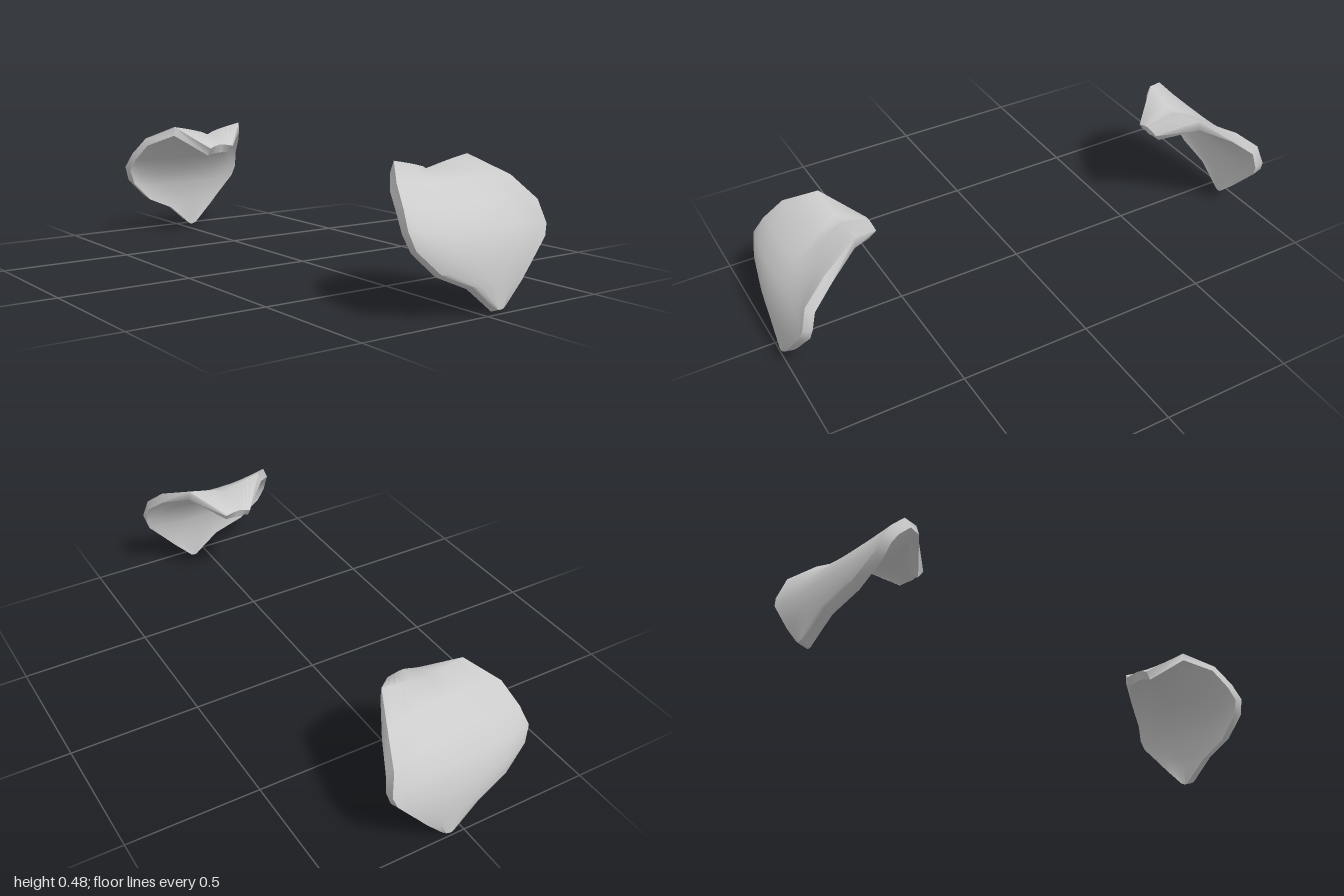
import * as THREE from 'three';
import { toCreasedNormals } from 'three/addons/utils/BufferGeometryUtils.js';

// Cross-sections from the inner tip, over the crest, down to the lower point.
// f: front edge, m: middle, b: back edge, p: bend (1 = V-shaped, 2 and up = round)
const SECTIONS = [
  { f: [0.60, 0.385, 0.05], m: [0.60, 0.40, 0], b: [0.60, 0.39, -0.06], p: 1.5 },
  { f: [0.72, 0.473, 0.155], m: [0.71, 0.434, 0], b: [0.72, 0.476, -0.165], p: 0.7 },
  { f: [0.83, 0.42, 0.235], m: [0.79, 0.41, 0], b: [0.86, 0.415, -0.228], p: 1.4 },
  { f: [0.90, 0.35, 0.265], m: [0.893, 0.35, 0], b: [0.95, 0.342, -0.262], p: 2 },
  { f: [0.94, 0.29, 0.28], m: [0.957, 0.28, 0], b: [0.975, 0.265, -0.28], p: 2.5 },
  { f: [0.955, 0.23, 0.26], m: [0.987, 0.21, 0], b: [0.985, 0.225, -0.265], p: 3 },
  { f: [0.975, 0.15, 0.175], m: [0.998, 0.14, -0.01], b: [0.992, 0.145, -0.195], p: 2 },
  { f: [0.99, 0.10, 0.06], m: [1.0, 0.09, -0.04], b: [0.995, 0.095, -0.152], p: 2 },
  { f: [0.995, 0.022, -0.03], m: [1.0, 0.014, -0.055], b: [0.995, 0.022, -0.083], p: 2 },
];
const COLS = 12;
const ROWS = SECTIONS.length - 1;
const THICKNESS = 0.038;

function sectionPoint({ f, m, b, p }, t) {
  const edge = t > 0 ? f : b;
  const u = Math.abs(t);
  const bend = Math.pow(u, p);
  return [
    m[0] + (edge[0] - m[0]) * bend,
    m[1] + (edge[1] - m[1]) * bend,
    m[2] + (edge[2] - m[2]) * u,
  ];
}

function padGeometry(side) {
  const at = (i, j) => i * (COLS + 1) + j;
  const outer = [];
  for (const section of SECTIONS) {
    for (let j = 0; j <= COLS; j++) outer.push(...sectionPoint(section, (2 * j) / COLS - 1));
  }
  const faces = [];
  for (let i = 0; i < ROWS; i++) {
    for (let j = 0; j < COLS; j++) {
      const a = at(i, j), b = at(i, j + 1), c = at(i + 1, j), d = at(i + 1, j + 1);
      faces.push(a, b, c, b, d, c);
    }
  }

  // Inner skin: outer skin pushed in along its normals, slightly lower at the bottom
  const skin = new THREE.BufferGeometry();
  skin.setAttribute('position', new THREE.Float32BufferAttribute(outer, 3));
  skin.setIndex(faces);
  skin.computeVertexNormals();
  const n = skin.attributes.normal.array;
  const count = outer.length / 3;
  const inner = outer.map((v, k) => v - n[k] * THICKNESS);
  for (let k = 0; k < count; k++) {
    const row = Math.floor(k / (COLS + 1));
    const x = k * 3, y = x + 1, z = x + 2;
    inner[x] = Math.max(inner[x], 0.6);
    if (row >= 5) inner[y] = outer[y] - 0.014;
    inner[z] = THREE.MathUtils.clamp(inner[z], -0.28, 0.28);
  }

  const index = [...faces];
  for (let k = 0; k < faces.length; k += 3) {
    index.push(faces[k] + count, faces[k + 2] + count, faces[k + 1] + count);
  }

  // Rim joining the two skins
  const loop = [];
  for (let j = 0; j < COLS; j++) loop.push(at(0, j));
  for (let i = 0; i < ROWS; i++) loop.push(at(i, COLS));
  for (let j = COLS; j > 0; j--) loop.push(at(ROWS, j));
  for (let i = ROWS; i > 0; i--) loop.push(at(i, 0));
  loop.forEach((a, k) => {
    const b = loop[(k + 1) % loop.length];
    index.push(b, a, a + count, b, a + count, b + count);
  });

  // Mirroring flips the order of corners
  const position = [...outer, ...inner].map((v, k) => (k % 3 === 0 ? v * side : v));
  if (side < 0) {
    for (let k = 0; k < index.length; k += 3) {
      [index[k + 1], index[k + 2]] = [index[k + 2], index[k + 1]];
    }
  }
  const geometry = new THREE.BufferGeometry();
  geometry.setAttribute('position', new THREE.Float32BufferAttribute(position, 3));
  geometry.setIndex(index);
  return toCreasedNormals(geometry, 1.1);
}

export function createModel() {
  const group = new THREE.Group();
  group.name = 'shoulderPads';
  const material = new THREE.MeshStandardMaterial({ color: 0xcccccc });
  for (const [name, side] of [['leftShoulderPad', 1], ['rightShoulderPad', -1]]) {
    const pad = new THREE.Mesh(padGeometry(side), material);
    pad.name = name;
    group.add(pad);
  }
  return group;
}
